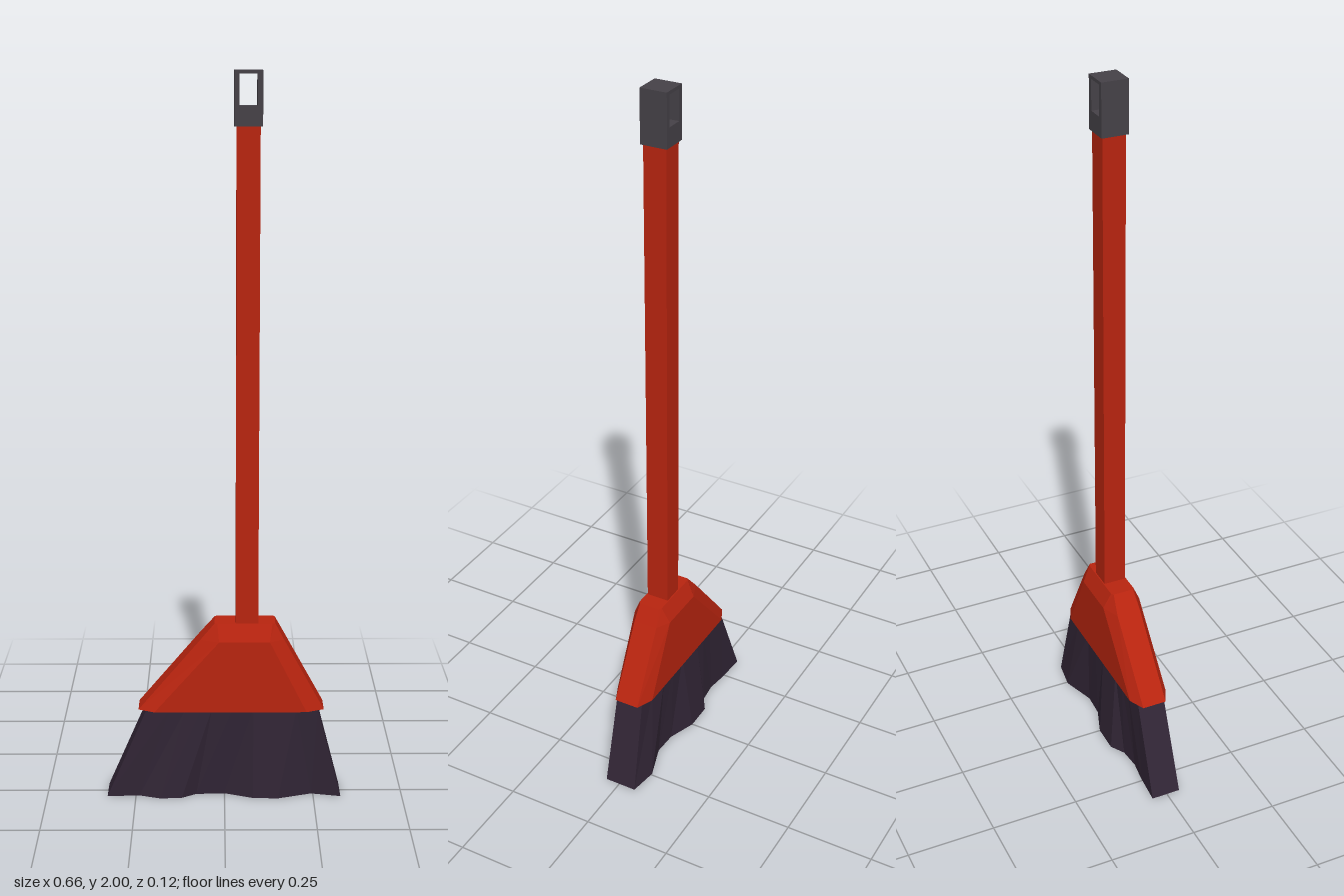
import * as THREE from 'three';

// Flat-faced solid through rings of [x, y, z], each running front left-to-right, then back right-to-left
function loft(rings) {
  const pos = [];
  const tri = (a, b, c) => pos.push(...a, ...b, ...c);
  const n = rings[0].length;
  for (let i = 0; i < rings.length - 1; i++) {
    for (let j = 0; j < n; j++) {
      const k = (j + 1) % n;
      const lo = rings[i], hi = rings[i + 1];
      tri(lo[j], lo[k], hi[k]);
      tri(lo[j], hi[k], hi[j]);
    }
  }
  const cap = (ring, up) => {
    const flat = ring.map(([x, , z]) => new THREE.Vector2(x, -z));
    for (const [a, b, c] of THREE.ShapeUtils.triangulateShape(flat, [])) {
      if (up) tri(ring[a], ring[b], ring[c]);
      else tri(ring[a], ring[c], ring[b]);
    }
  };
  cap(rings[0], false);
  cap(rings[rings.length - 1], true);
  const geo = new THREE.BufferGeometry();
  geo.setAttribute('position', new THREE.Float32BufferAttribute(pos, 3));
  geo.computeVertexNormals();
  return geo;
}

// Rectangle with cut corners: outer x range, inner x range, outer z range, inner z range
function octagon(y, [x0, x1], [i0, i1], [z0, z1], [s0, s1]) {
  return [
    [x0, y, s1], [i0, y, z1], [i1, y, z1], [x1, y, s1],
    [x1, y, s0], [i1, y, z0], [i0, y, z0], [x0, y, s0],
  ];
}

export function createModel() {
  const group = new THREE.Group();
  const red = new THREE.MeshStandardMaterial({ color: 0xb8240f });
  red.name = 'red plastic';
  const dark = new THREE.MeshStandardMaterial({ color: 0x312535 });
  dark.name = 'dark bristle';
  const grey = new THREE.MeshStandardMaterial({ color: 0x454147 });
  grey.name = 'grey plastic';

  const add = (name, geo, mat) => {
    const mesh = new THREE.Mesh(geo, mat);
    mesh.name = name;
    group.add(mesh);
    return mesh;
  };
  const cx = 0.062, cz = 0.002;

  // Square handle
  add('handle', new THREE.BoxGeometry(0.062, 1.37, 0.064), red).position.set(cx, 1.185, cz);

  // Hanging cap with a slot from front to back
  const outline = new THREE.Shape([
    [0.025, 1.858], [0.099, 1.858], [0.099, 2], [0.025, 2],
  ].map(p => new THREE.Vector2(...p)));
  outline.holes.push(new THREE.Path([
    [0.038, 1.91], [0.038, 1.991], [0.085, 1.991], [0.085, 1.91],
  ].map(p => new THREE.Vector2(...p))));
  const capGeo = new THREE.ExtrudeGeometry(outline, { depth: 0.074, bevelEnabled: false });
  add('hangingCap', capGeo, grey).position.z = cz - 0.037;

  // Lopsided chamfered head
  const depth = [-0.055, 0.058], side = [-0.034, 0.036];
  add('head', loft([
    octagon(0.26, [-0.24, 0.277], [-0.195, 0.228], depth, side),
    octagon(0.465, [-0.067, 0.165], [-0.015, 0.125], depth, side),
    octagon(0.512, [-0.027, 0.14], [-0.02, 0.132], [-0.033, 0.037], [-0.028, 0.032]),
  ]), red);

  // Bristle skirt: [x, centre z, half thickness] along the wavy lower edge
  const wave = [
    [-0.33, -0.003, 0.042], [-0.24, -0.002, 0.037], [-0.18, 0.012, 0.043],
    [-0.12, 0.007, 0.044], [-0.08, -0.018, 0.044], [0, -0.02, 0.042],
    [0.08, 0.01, 0.043], [0.15, 0.013, 0.043], [0.245, -0.019, 0.043],
    [0.327, -0.004, 0.046],
  ];
  const skirt = (y, t) => {
    const at = ([x, z, h], s) => {
      const topX = -0.217 + (x + 0.33) / 0.657 * 0.477;
      return [
        THREE.MathUtils.lerp(x, topX, t), y,
        THREE.MathUtils.lerp(z + s * h, s * 0.04, t),
      ];
    };
    return [...wave.map(p => at(p, 1)), ...wave.map(p => at(p, -1)).reverse()];
  };
  add('bristles', loft([skirt(0, 0), skirt(0.262, 1)]), dark);

  return group;
}
